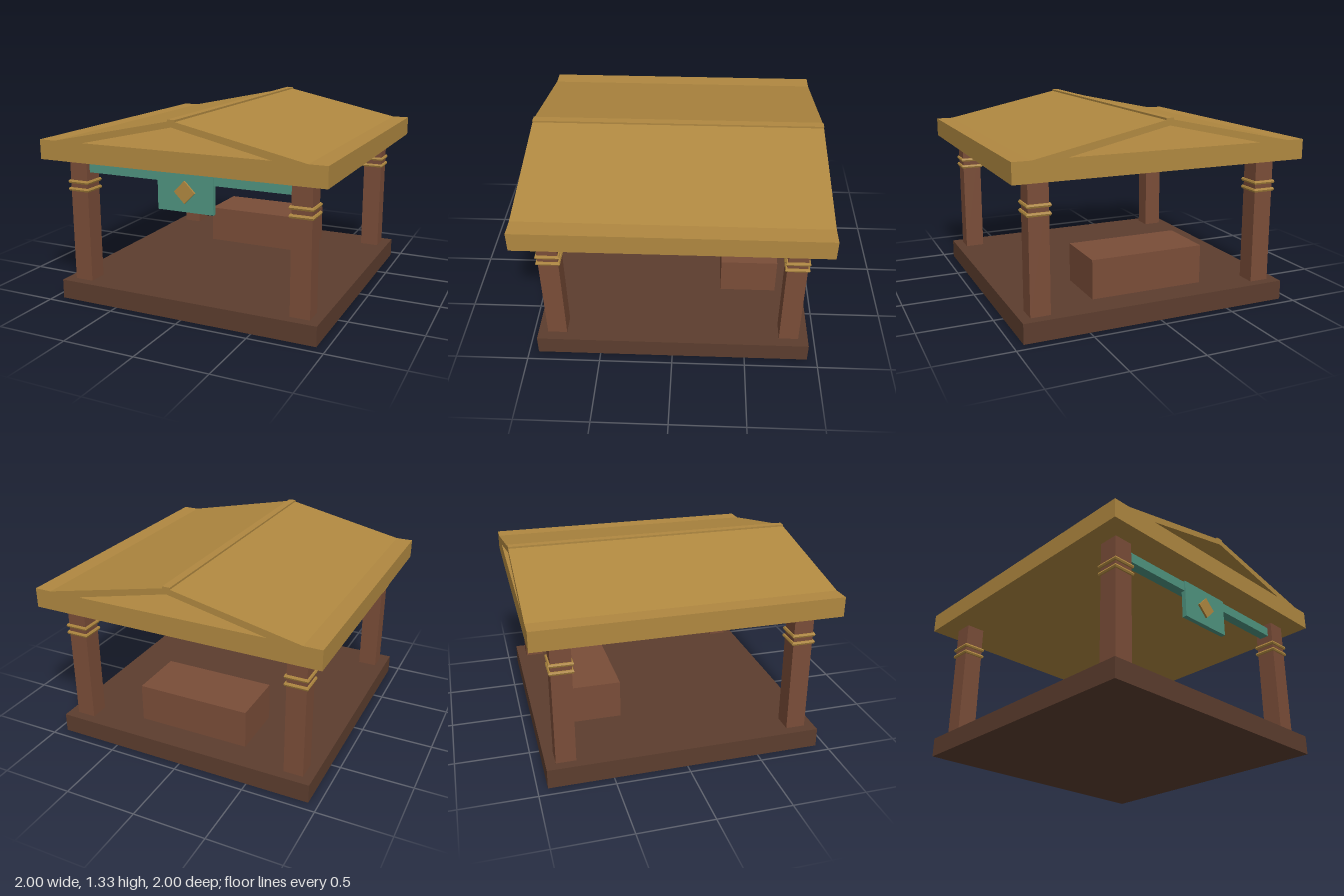
import * as THREE from 'three';

const material = (color) => new THREE.MeshStandardMaterial({ color, flatShading: true });

export function createModel() {
  const model = new THREE.Group();
  model.name = 'pavilion';
  const darkWood = material(0x5c3d2e);
  const redWood = material(0x7a4d38);
  const gold = material(0xb08840);
  const green = material(0x4f9480);

  const add = (name, geometry, mat, x, y, z, parent = model) => {
    const mesh = new THREE.Mesh(geometry, mat);
    mesh.name = name;
    mesh.position.set(x, y, z);
    parent.add(mesh);
    return mesh;
  };
  // Box given by its size, its bottom height and its centre in x and z
  const box = (name, mat, w, h, d, x, bottom, z, parent) =>
    add(name, new THREE.BoxGeometry(w, h, d), mat, x, bottom + h / 2, z, parent);

  // Floor and altar
  box('base', darkWood, 1.867, 0.133, 1.867, 0, 0, 0);
  box('altar', redWood, 0.8, 0.267, 0.4, 0, 0.133, -0.533);

  // Four square pillars, each with two square bands
  const bandGeometry = new THREE.TorusGeometry(0.1, 0.0133, 6, 4);
  bandGeometry.rotateX(Math.PI / 2).rotateY(Math.PI / 4);
  for (const x of [-0.8, 0.8]) {
    for (const z of [-0.8, 0.8]) {
      const pillar = new THREE.Group();
      pillar.name = 'pillar';
      pillar.position.set(x, 0, z);
      model.add(pillar);
      box('pillarShaft', redWood, 0.133, 0.867, 0.133, 0, 0.133, 0, pillar);
      for (const y of [0.78, 0.833]) add('pillarBand', bandGeometry, gold, 0, y, 0, pillar);
    }
  }

  // Front beam with hanging sign and diamond ornament
  box('frontBeam', green, 1.467, 0.067, 0.067, 0, 0.9, 0.8);
  box('sign', green, 0.4, 0.267, 0.033, 0, 0.709, 0.823);
  const diamond = add('signDiamond', new THREE.BoxGeometry(0.106, 0.106, 0.02), gold, 0, 0.841, 0.843);
  diamond.rotation.z = Math.PI / 4;

  // Roof slab, open gable and ridge cap
  box('roofSlab', gold, 2, 0.133, 2, 0, 1, 0);
  const gable = new THREE.Shape([
    [-0.88, 1.133], [-0.66, 1.133], [0, 1.28], [0.66, 1.133], [0.88, 1.133], [0, 1.32],
  ].map(([x, y]) => new THREE.Vector2(x, y)));
  const gableGeometry = new THREE.ExtrudeGeometry(gable, { depth: 2, bevelEnabled: false });
  add('roofPanels', gableGeometry, gold, 0, 0, -1);
  box('ridgeCap', gold, 0.053, 0.027, 2, 0, 1.3, 0);

  return model;
}
